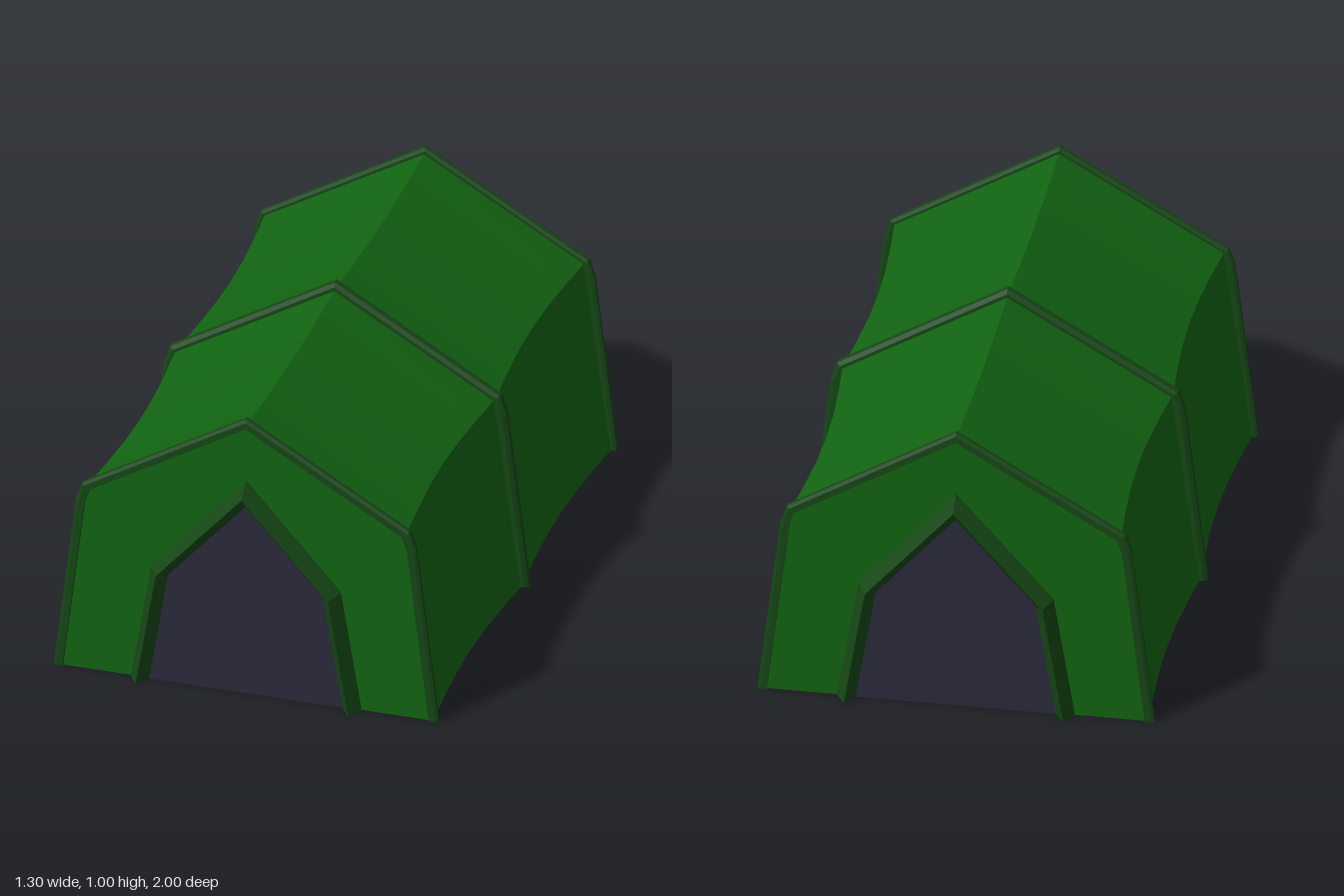
import * as THREE from 'three';

const mat = (color) => new THREE.MeshStandardMaterial({ color, flatShading: true, side: THREE.DoubleSide });
const END = 0.945; // distance of the end walls from the centre

// Mirrors a half profile (+x base up to the ridge) into a full arch
const arch = (half) => [...half, ...half.slice(0, -1).reverse().map(([x, y]) => [-x, y])];

// Offsets an arch outwards by d with mitred corners, keeping its feet on the ground
function offset(path, d) {
  const normal = (a, b) => new THREE.Vector2(b[1] - a[1], a[0] - b[0]).normalize();
  return path.map((p, i) => {
    if (i === 0) return [p[0] + d / normal(p, path[1]).x, 0];
    if (i === path.length - 1) return [p[0] + d / normal(path[i - 1], p).x, 0];
    const n1 = normal(path[i - 1], p), n2 = normal(p, path[i + 1]);
    const k = d / (1 + n1.dot(n2));
    return [p[0] + (n1.x + n2.x) * k, p[1] + (n1.y + n2.y) * k];
  });
}

// Skins a list of [arch, z] loops; a closed skin joins last to first and caps the feet
function skin(loops, closed) {
  const pos = [], index = [], n = loops[0][0].length, m = loops.length;
  loops.forEach(([path, z]) => path.forEach(([x, y]) => pos.push(x, y, z)));
  for (let j = 0; j < (closed ? m : m - 1); j++) {
    const k = (j + 1) % m;
    for (let i = 0; i < n - 1; i++) {
      const a = j * n + i, b = k * n + i;
      index.push(a, a + 1, b, a + 1, b + 1, b);
    }
  }
  if (closed) {
    for (let j = 1; j < m - 1; j++) {
      index.push(0, j * n, (j + 1) * n);
      index.push(n - 1, (j + 2) * n - 1, (j + 1) * n - 1);
    }
  }
  const g = new THREE.BufferGeometry();
  g.setAttribute('position', new THREE.Float32BufferAttribute(pos, 3));
  g.setIndex(index);
  g.computeVertexNormals();
  return g;
}

// Sweeps a closed [offset, z] section along an arch
const sweep = (path, section) => skin(section.map(([d, z]) => [offset(path, d), z]), true);
const shape = (points) => new THREE.ShapeGeometry(new THREE.Shape(points.map(([x, y]) => new THREE.Vector2(x, y))));

// Tent outline, sagging by s (0 at the ribs, 1 between them)
const outline = (s) => arch([[0.625 - 0.028 * s, 0], [0.535 - 0.03 * s, 0.663], [0, 0.975 - 0.019 * s]]);
const ribPath = arch([[0.625, 0], [0.551, 0.61], [0.533, 0.663], [0, 0.975]]);
const doorPath = arch([[0.355, 0], [0.288, 0.402], [0, 0.725]]);

export function createModel() {
  const model = new THREE.Group();
  const canvasMat = mat(0x126412), trimMat = mat(0x154715), doorMat = mat(0x2a2a3c);
  const add = (parent, name, geometry, material) => {
    const mesh = new THREE.Mesh(geometry, material);
    mesh.name = name;
    parent.add(mesh);
    return mesh;
  };

  // Sagging canvas over two bays
  const loops = [];
  for (let i = -6; i <= 6; i++) {
    loops.push([outline(Math.abs(Math.sin((Math.PI * i) / 6))), (END * i) / 6]);
  }
  add(model, 'canvas', skin(loops, false), canvasMat);

  // Chamfered ribs: a wide one in the middle and a thin one at each end
  const ribSection = (h, w) => [[-0.012, -w], [h * 0.45, -w], [h, -w * 0.6], [h, w * 0.6], [h * 0.45, w], [-0.012, w]];
  add(model, 'middleRib', sweep(ribPath, ribSection(0.023, 0.019)), trimMat);
  for (const side of [1, -1]) {
    add(model, side > 0 ? 'frontRib' : 'backRib', sweep(ribPath, ribSection(0.018, 0.013)), trimMat)
      .position.z = side * END;
  }

  // Identical front and back ends
  for (const side of [1, -1]) {
    const end = new THREE.Group();
    end.name = side > 0 ? 'frontEnd' : 'backEnd';
    if (side < 0) end.rotation.y = Math.PI;
    model.add(end);

    const wall = [...outline(0), ...doorPath.slice().reverse()];
    add(end, 'endWall', shape(wall), canvasMat).position.z = END + 0.003;
    add(end, 'doorPanel', shape(doorPath), doorMat).position.z = END + 0.008;
    add(end, 'doorFrame', sweep(doorPath, [[-0.03, 0.937], [0.03, 0.937], [0.03, 0.953], [0.001, 1], [-0.001, 1], [-0.03, 0.957]]), trimMat);
  }

  // Upright poles under the ridge
  for (const z of [-0.925, 0, 0.925]) {
    add(model, 'pole', new THREE.CylinderGeometry(0.013, 0.013, 0.965, 8), canvasMat).position.set(0, 0.4825, z);
  }
  return model;
}
